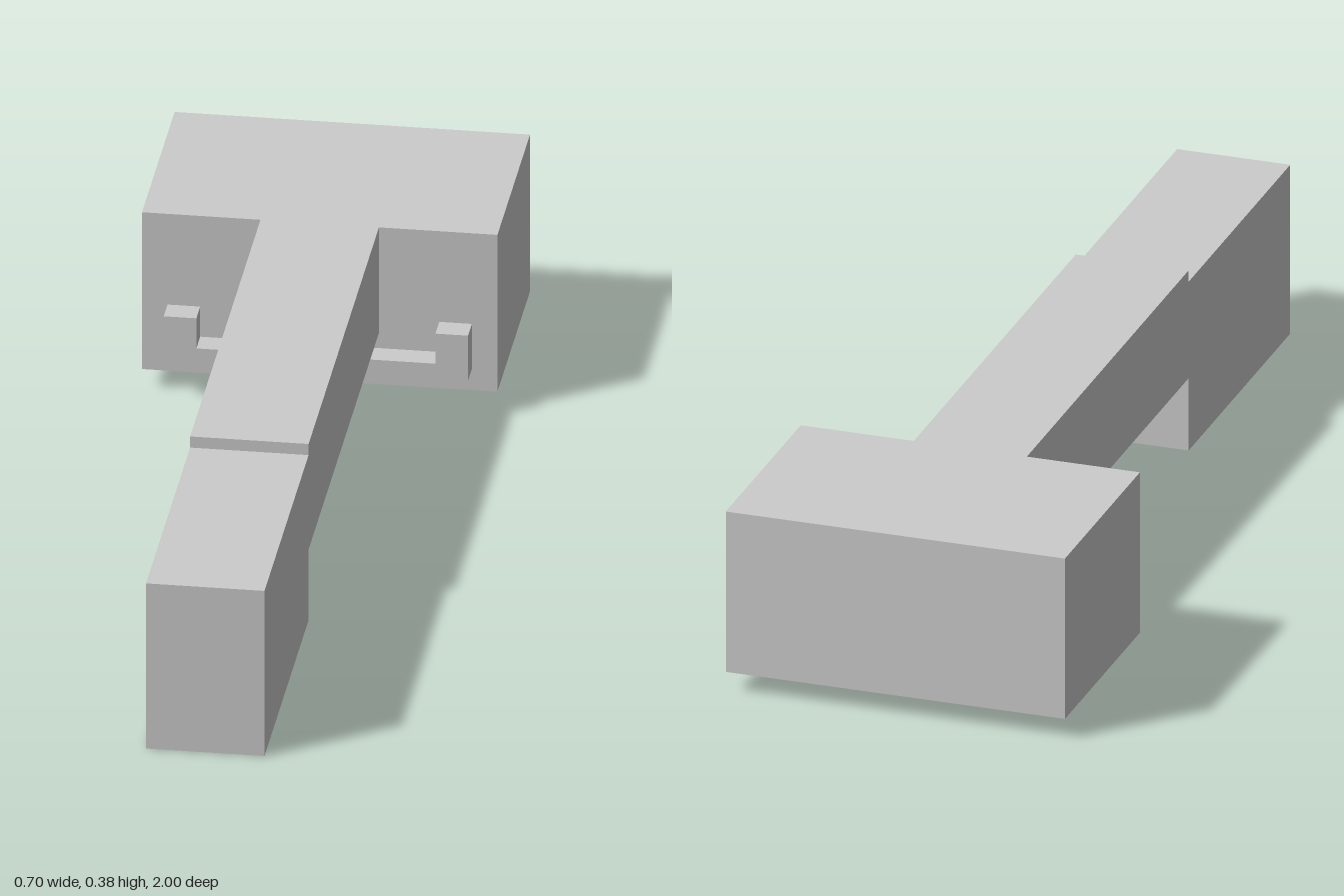
import * as THREE from 'three';

const material = new THREE.MeshStandardMaterial({ color: 0xcccccc, flatShading: true });

// Box given by its half width and its y and z ranges
function block(name, halfWidth, y0, y1, z0, z1) {
  const mesh = new THREE.Mesh(new THREE.BoxGeometry(2 * halfWidth, y1 - y0, z1 - z0), material);
  mesh.position.set(0, (y0 + y1) / 2, (z0 + z1) / 2);
  mesh.name = name;
  return mesh;
}

export function createModel() {
  const group = new THREE.Group();
  group.name = 'model';

  // Wide rear block, long neck and deeper front block
  group.add(block('rearBlock', 0.348, 0.042, 0.381, -1, -0.557));
  group.add(block('neck', 0.116, 0.153, 0.381, -0.557, 0.4));
  group.add(block('frontBlock', 0.116, 0, 0.357, 0.4, 1));

  // Shallow U-shaped bracket on the front of the rear block
  const right = [[0.298, 0.088], [0.298, 0.185], [0.234, 0.185], [0.234, 0.12]];
  const left = right.map(([x, y]) => [-x, y]).reverse();
  const outline = new THREE.Shape([...right, ...left].map(([x, y]) => new THREE.Vector2(x, y)));
  const bracket = new THREE.Mesh(
    new THREE.ExtrudeGeometry(outline, { depth: 0.052, bevelEnabled: false }), material);
  bracket.position.z = -0.557;
  bracket.name = 'bracket';
  group.add(bracket);

  return group;
}
